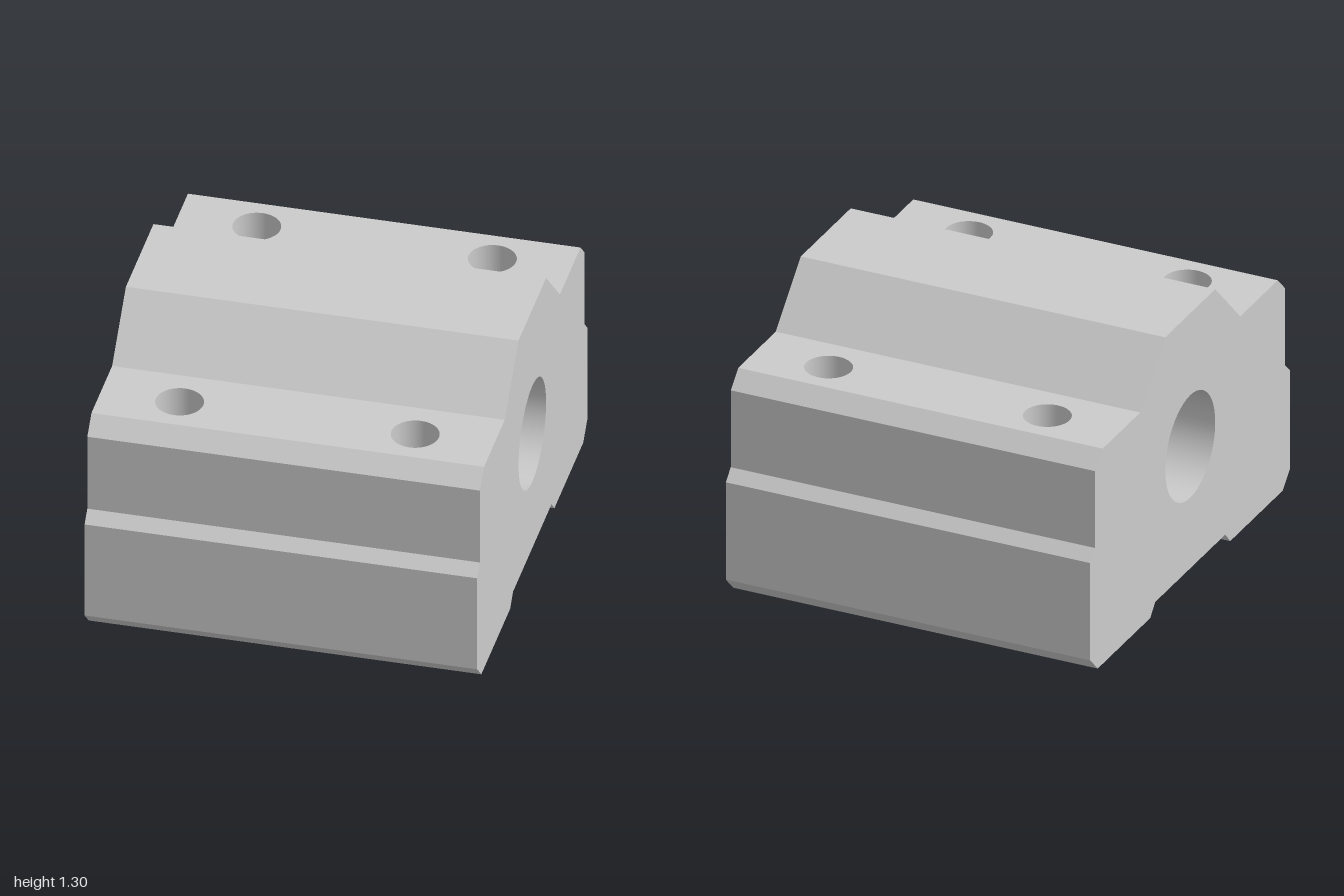
import * as THREE from 'three';
import { mergeGeometries } from 'three/addons/utils/BufferGeometryUtils.js';

const HALF = 0.875;                         // half length along x
const BORE = { y: 0.65, r: 0.25 };
const HOLE = { x: 0.525, z: 0.7, r: 0.106, mouth: 0.121, depth: 0.022 };
const LEDGE = 1.05;

// Front half of the cross-section as [z, y], from the bottom recess up to the ridge
const half = [
  [0.35, 0.055], [0.4, 0], [0.925, 0], [1, 0.075], [1, 0.55], [0.95, 0.6],
  [0.95, 0.975], [0.875, LEDGE], [0.5, LEDGE], [0.25, 1.3],
];
const profile = [...half, ...half.map(([z, y]) => [-z, y]).reverse()];

function circle(x, y, r) {
  return new THREE.Path().absarc(x, y, r, 0, Math.PI * 2, true);
}

// Lay a flat shape into space with its local x and y along u and v
function place(shape, origin, u, v) {
  const n = new THREE.Vector3().crossVectors(u, v);
  const m = new THREE.Matrix4().makeBasis(u, v, n).setPosition(origin);
  return new THREE.ShapeGeometry(shape, 24).applyMatrix4(m);
}

export function createModel() {
  const group = new THREE.Group();
  const grey = new THREE.MeshStandardMaterial({ color: 0xcccccc });
  const inner = new THREE.MeshStandardMaterial({ color: 0xcccccc, side: THREE.BackSide });
  const add = (name, geometry, material) => {
    const mesh = new THREE.Mesh(geometry, material);
    mesh.name = name;
    group.add(mesh);
    return mesh;
  };
  const X = new THREE.Vector3(1, 0, 0);
  const Y = new THREE.Vector3(0, 1, 0);

  // Long faces, one per edge of the cross-section; ledges and feet are pierced
  const faces = profile.map(([z, y], i) => {
    const [z2, y2] = profile[(i + 1) % profile.length];
    const start = new THREE.Vector3(0, y, z);
    const dir = new THREE.Vector3(0, y2 - y, z2 - z);
    const len = dir.length();
    dir.normalize();
    const shape = new THREE.Shape([
      new THREE.Vector2(-HALF, 0), new THREE.Vector2(HALF, 0),
      new THREE.Vector2(HALF, len), new THREE.Vector2(-HALF, len),
    ]);
    if (y === y2 && (y === LEDGE || y === 0)) {
      const along = Math.abs(Math.sign(z) * HOLE.z - z);
      const r = y === 0 ? HOLE.mouth : HOLE.r;
      for (const sx of [-1, 1]) shape.holes.push(circle(sx * HOLE.x, along, r));
    }
    return place(shape, start, X, dir);
  });

  // End faces with the bore opening
  const end = new THREE.Shape(profile.map(([z, y]) => new THREE.Vector2(z, y)));
  end.holes.push(circle(0, BORE.y, BORE.r));
  for (const s of [-1, 1]) {
    faces.push(place(end, new THREE.Vector3(s * HALF, 0, 0), new THREE.Vector3(0, 0, -s), Y));
  }
  add('block', mergeGeometries(faces), grey);

  // Shaft bore
  const bore = add('shaftBore',
    new THREE.CylinderGeometry(BORE.r, BORE.r, HALF * 2, 48, 1, true), inner);
  bore.rotation.z = Math.PI / 2;
  bore.position.y = BORE.y;

  // Four mounting holes, countersunk underneath
  const wall = LEDGE - HOLE.depth;
  const pierce = mergeGeometries([
    new THREE.CylinderGeometry(HOLE.r, HOLE.r, wall, 48, 1, true)
      .translate(0, HOLE.depth + wall / 2, 0),
    new THREE.CylinderGeometry(HOLE.r, HOLE.mouth, HOLE.depth, 48, 1, true)
      .translate(0, HOLE.depth / 2, 0),
  ]);
  for (const sx of [-1, 1]) {
    for (const sz of [-1, 1]) {
      add('mountingHole', pierce, inner).position.set(sx * HOLE.x, 0, sz * HOLE.z);
    }
  }
  return group;
}
